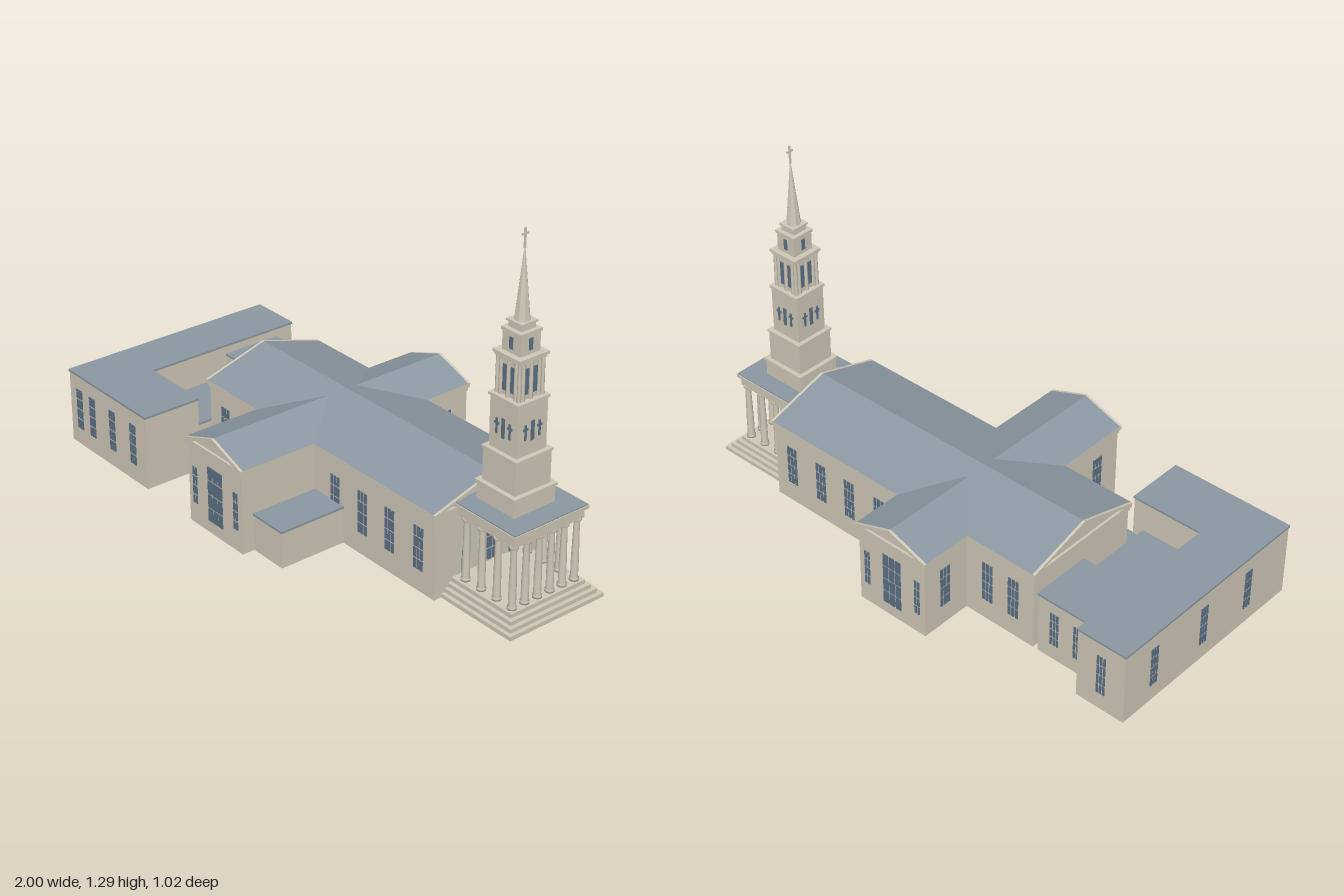
import * as THREE from 'three';

export function createModel() {
  const model = new THREE.Group();
  model.name = 'church';
  const mat = (name, color, side = THREE.FrontSide) => {
    const m = new THREE.MeshStandardMaterial({ color, side });
    m.name = name;
    return m;
  };
  const stone = mat('stone', 0xd0c9b8, THREE.DoubleSide);
  const slate = mat('slate', 0x8c98a2, THREE.DoubleSide);
  const glass = mat('glass', 0x5c7186);

  const group = (name, parent = model) => {
    const g = new THREE.Group();
    g.name = name;
    parent.add(g);
    return g;
  };
  const add = (name, geo, material, parent, x = 0, y = 0, z = 0) => {
    const m = new THREE.Mesh(geo, material);
    m.name = name;
    m.position.set(x, y, z);
    parent.add(m);
    return m;
  };
  // Box given by its limits
  const block = (name, parent, material, x0, x1, y0, y1, z0, z1) =>
    add(name, new THREE.BoxGeometry(x1 - x0, y1 - y0, z1 - z0), material, parent,
      (x0 + x1) / 2, (y0 + y1) / 2, (z0 + z1) / 2);
  // Hollow walls: a box without top and bottom
  const walls = (name, parent, x0, x1, h, z0, z1) => {
    const m = block(name, parent, stone, x0, x1, 0, h, z0, z1);
    const i = Array.from(m.geometry.index.array);
    m.geometry.clearGroups();
    m.geometry.setIndex([...i.slice(0, 12), ...i.slice(24)]);
  };
  const flatWing = (name, x0, x1, h, z0, z1) => {
    const g = group(name);
    walls('walls', g, x0, x1, h - 0.008, z0, z1);
    block('flatRoof', g, slate, x0 - 0.003, x1 + 0.003, h - 0.008, h, z0 - 0.003, z1 + 0.003);
  };

  // Gabled hall: walls, stepped cornice, slate roof and raking end trims
  const EAVE = 0.325;
  const gabledHall = (name, width, length, ridge) => {
    const g = group(name);
    const w = width / 2, l = length / 2;
    walls('walls', g, -w, w, 0.3, -l, l);
    block('lowerCornice', g, stone, -w - 0.004, w + 0.004, 0.295, 0.308, -l - 0.004, l + 0.004);
    block('upperCornice', g, stone, -w - 0.009, w + 0.009, 0.308, EAVE, -l - 0.009, l + 0.009);
    const r = w + 0.01;
    const triangle = new THREE.Shape([[-r, EAVE], [r, EAVE], [0, ridge]].map((p) => new THREE.Vector2(...p)));
    add('roof', new THREE.ExtrudeGeometry(triangle, { depth: length, bevelEnabled: false }),
      [stone, slate], g, 0, 0, -l);
    const rake = new THREE.Shape([[-r, EAVE], [0, ridge], [r, EAVE], [r - 0.04, EAVE], [0, ridge - 0.014], [0.04 - r, EAVE]]
      .map((p) => new THREE.Vector2(...p)));
    for (const z of [-l - 0.01, l])
      add('rakingCornice', new THREE.ExtrudeGeometry(rake, { depth: 0.01, bevelEnabled: false }), stone, g, 0, 0, z);
    return g;
  };
  const nave = gabledHall('nave', 0.485, 1.22, 0.4);
  nave.rotation.y = Math.PI / 2;
  nave.position.set(0.06, 0, -0.0525);
  gabledHall('transept', 0.3, 1.0, 0.382).position.set(-0.1, 0, 0);

  // Flat roofed wings and annexes
  flatWing('longWing', -0.997, -0.8, 0.288, -0.37, 0.497);
  flatWing('frontWing', -0.8, -0.515, 0.288, 0.27, 0.497);
  flatWing('backLink', -0.8, -0.57, 0.25, -0.295, -0.065);
  flatWing('courtLink', -0.8, -0.56, 0.16, -0.065, 0.27);
  flatWing('lowLink', -0.56, -0.25, 0.125, 0.19, 0.27);
  flatWing('sideAnnex', 0.05, 0.203, 0.143, 0.19, 0.452);

  // Windows: thin panes in a grid; angle turns them to face each wall
  const windows = group('windows');
  const windowAt = (x, z, angle, y0 = 0.08, y1 = 0.245, w = 0.05, cols = 3, rows = 4, parent = windows) => {
    const g = group('window', parent);
    g.position.set(x, 0, z);
    g.rotation.y = angle;
    const dx = w / cols, dy = (y1 - y0) / rows;
    const pane = new THREE.BoxGeometry(dx - (cols > 1 ? 0.005 : 0), dy - (rows > 1 ? 0.005 : 0), 0.004);
    for (let c = 0; c < cols; c++)
      for (let r = 0; r < rows; r++)
        add('pane', pane, glass, g, (c + 0.5) * dx - w / 2, y0 + (r + 0.5) * dy, 0.001);
  };
  const F = 0, B = Math.PI, R = Math.PI / 2, L = -Math.PI / 2;
  for (const x of [-0.46, -0.345, 0.16, 0.305, 0.445, 0.59]) {
    windowAt(x, 0.19, F);
    windowAt(x, -0.295, B);
  }
  for (const [z, a] of [[0.5, F], [-0.5, B]]) {
    windowAt(-0.1, z, a, 0.045, 0.26, 0.085);
    for (const x of [-0.215, 0.015]) windowAt(x, z, a, 0.08, 0.225, 0.028, 2);
  }
  windowAt(0.05, -0.402, R);
  windowAt(-0.25, -0.402, L);
  windowAt(-0.25, 0.39, L);
  for (const x of [-0.937, -0.855, -0.727, -0.597]) windowAt(x, 0.497, F, 0.065, 0.228, 0.04);
  for (const z of [-0.22, 0.04, 0.28]) windowAt(-0.997, z, L, 0.065, 0.228, 0.04);
  windowAt(-0.9, -0.37, B, 0.065, 0.228, 0.04);
  for (const x of [-0.74, -0.64]) windowAt(x, -0.295, B, 0.06, 0.2, 0.04);

  // Entrance wall behind the porch
  const CZ = -0.048;
  windowAt(0.67, CZ, R, 0.065, 0.245, 0.075);
  for (const s of [-1, 1]) windowAt(0.67, CZ + s * 0.105, R, 0.06, 0.147, 0.03, 1, 1);

  // Porch: steps, columns, entablature
  const porch = group('porch');
  for (let i = 0; i < 4; i++) {
    const half = 0.207 - i * 0.0145;
    block('step', porch, stone, 0.67, 1 - i * 0.015, i * 0.015, (i + 1) * 0.015, CZ - half, CZ + half);
  }
  const shaft = new THREE.LatheGeometry([[0, 0], [0.017, 0], [0.017, 0.008], [0.0135, 0.013], [0.0135, 0.08],
    [0.0105, 0.218], [0.0165, 0.226], [0.0165, 0.238], [0, 0.238]].map((p) => new THREE.Vector2(...p)), 12);
  const column = (x, z) => add('column', shaft, stone, porch, x, 0.06, z);
  for (let i = 0; i < 6; i++) column(0.93, CZ + (i - 2.5) * 0.055);
  for (const x of [0.71, 0.785, 0.858])
    for (const s of [-1, 1]) column(x, CZ + s * 0.1375);
  block('entablature', porch, stone, 0.67, 0.947, 0.295, 0.33, CZ - 0.153, CZ + 0.153);
  block('porchCornice', porch, stone, 0.67, 0.958, 0.33, 0.342, CZ - 0.163, CZ + 0.163);
  block('porchRoof', porch, slate, 0.67, 0.955, 0.342, 0.346, CZ - 0.16, CZ + 0.16);

  // Tower: stacked square stages as [half width, bottom, top]
  const tower = group('tower');
  tower.position.set(0.786, 0, CZ);
  const stages = [
    [0.089, 0.345, 0.408], [0.094, 0.408, 0.416], [0.077, 0.416, 0.533], [0.081, 0.533, 0.541],
    [0.064, 0.541, 0.722], [0.069, 0.722, 0.732], [0.048, 0.732, 0.862], [0.058, 0.862, 0.872],
    [0.063, 0.872, 0.882], [0.042, 0.882, 0.95], [0.046, 0.95, 0.961], [0.03, 0.961, 0.981], [0.035, 0.981, 0.988],
  ];
  for (const [h, y0, y1] of stages) block('stage', tower, stone, -h, h, y0, y1, -h, h);

  // Details repeated on the four faces of the tower
  const pier = new THREE.CylinderGeometry(0.006, 0.007, 0.13, 8);
  for (let k = 0; k < 4; k++) {
    const face = group('towerFace', tower);
    face.rotation.y = k * Math.PI / 2;
    windowAt(0, 0.064, 0, 0.59, 0.66, 0.014, 1, 1, face);
    for (const s of [-1, 1]) {
      block('crossUpright', face, glass, s * 0.03 - 0.004, s * 0.03 + 0.004, 0.597, 0.652, 0.062, 0.067);
      block('crossArm', face, glass, s * 0.03 - 0.011, s * 0.03 + 0.011, 0.631, 0.639, 0.062, 0.0665);
      windowAt(s * 0.018, 0.048, 0, 0.75, 0.84, 0.016, 1, 1, face);
    }
    for (const x of [-0.05, -0.034, 0, 0.034]) add('belfryColumn', pier, stone, face, x, 0.797, 0.05);
    windowAt(0, 0.042, 0, 0.897, 0.938, 0.015, 1, 1, face);
  }

  // Spire and cross
  const spire = new THREE.ConeGeometry(0.027, 0.257, 8).toNonIndexed();
  spire.computeVertexNormals();
  add('spire', spire, stone, tower, 0, 1.1155, 0).rotation.y = Math.PI / 8;
  block('topCrossUpright', tower, stone, -0.003, 0.003, 1.225, 1.294, -0.003, 0.003);
  block('topCrossArm', tower, stone, -0.003, 0.003, 1.27, 1.277, -0.014, 0.014);
  return model;
}
